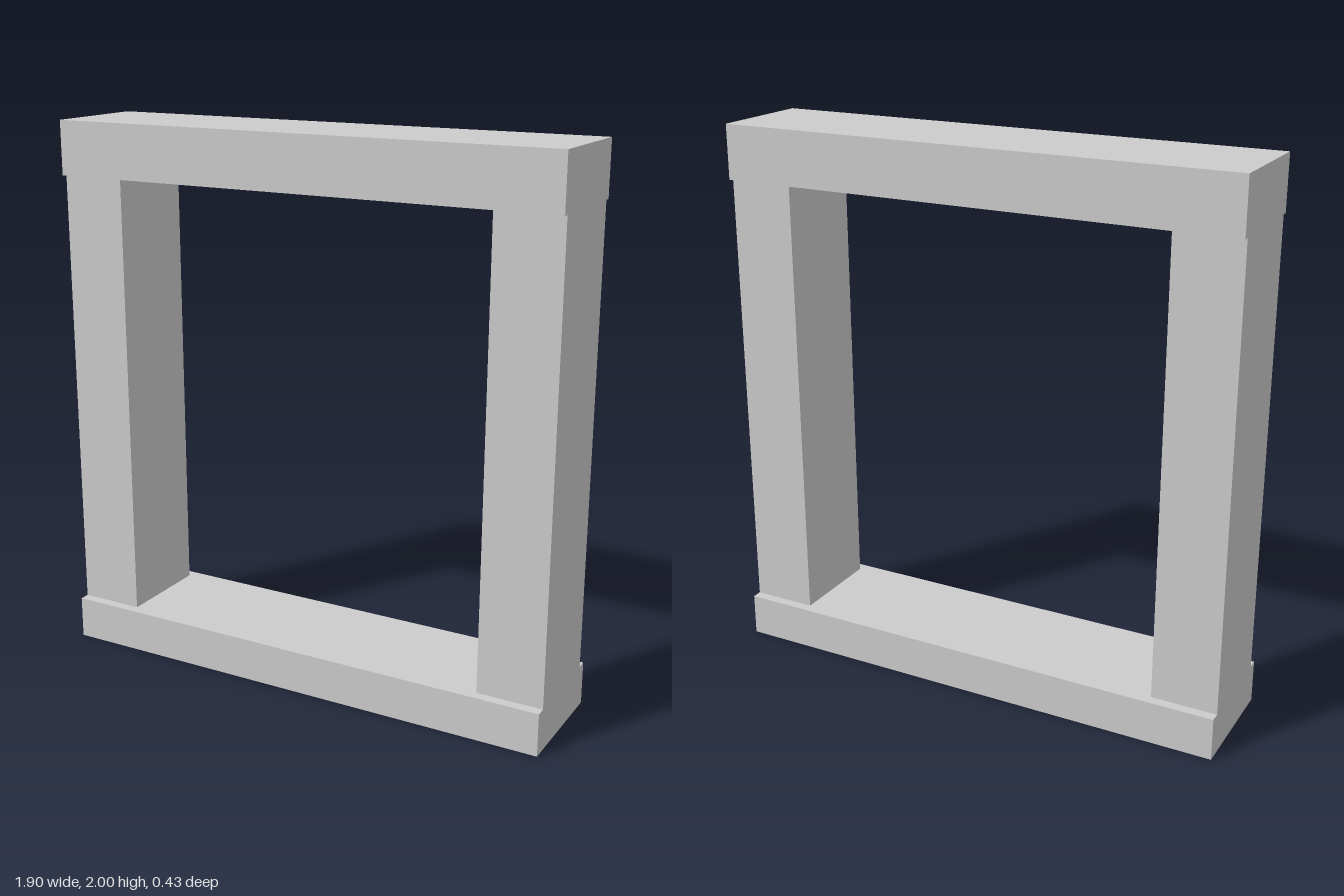
import * as THREE from 'three';

const HALF_WIDTH = 0.95;
const POST_WIDTH = 0.24;
const SILL_TOP = 0.157;
const LINTEL_BOTTOM = 1.803;
const TOP = 2;

export function createModel() {
  const group = new THREE.Group();
  group.name = 'doorFrame';
  const material = new THREE.MeshStandardMaterial({ color: 0xcccccc, flatShading: true });

  // Box centred on z = 0, spanning bottom to top
  const addBeam = (name, x, width, bottom, top, depth) => {
    const mesh = new THREE.Mesh(new THREE.BoxGeometry(width, top - bottom, depth), material);
    mesh.name = name;
    mesh.position.set(x, (bottom + top) / 2, 0);
    group.add(mesh);
  };

  // Horizontal beams: the sill is the deepest, the lintel slightly shallower
  addBeam('sill', 0, HALF_WIDTH * 2, 0, SILL_TOP, 0.432);
  addBeam('lintel', 0, HALF_WIDTH * 2, LINTEL_BOTTOM, TOP, 0.4);

  // Upright posts, flush with the ends of the beams
  for (const [name, side] of [['leftPost', 1], ['rightPost', -1]]) {
    addBeam(name, side * (HALF_WIDTH - POST_WIDTH / 2), POST_WIDTH, SILL_TOP, LINTEL_BOTTOM, 0.358);
  }

  return group;
}
